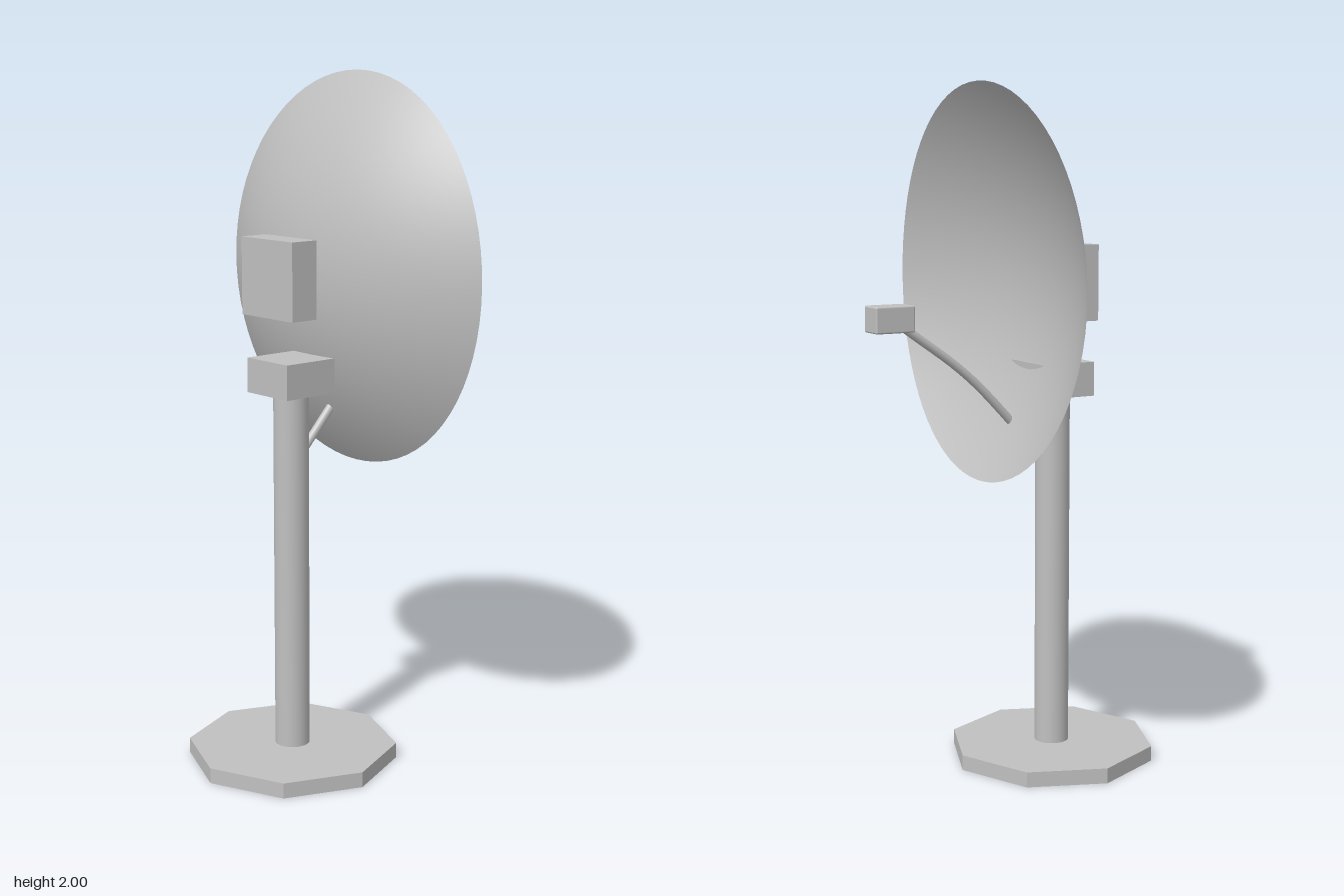
import * as THREE from 'three';
import { RoundedBoxGeometry } from 'three/addons/geometries/RoundedBoxGeometry.js';

const POLE_Z = 0.143;

// Paraboloid shell with an oval outline, bulging towards +z
function dishGeometry(rx, ry, k) {
  const geo = new THREE.RingGeometry(0.001, 1, 72, 16);
  geo.scale(rx, ry, 1);
  const p = geo.attributes.position, n = geo.attributes.normal;
  const v = new THREE.Vector3();
  for (let i = 0; i < p.count; i++) {
    const x = p.getX(i), y = p.getY(i);
    p.setZ(i, -k * (x * x + y * y));
    v.set(2 * k * x, 2 * k * y, 1).normalize();
    n.setXYZ(i, v.x, v.y, v.z);
  }
  return geo;
}

export function createModel() {
  const group = new THREE.Group();
  const grey = new THREE.MeshStandardMaterial({ color: 0xc0c0c0, side: THREE.DoubleSide });
  grey.name = 'light grey';

  const add = (name, geo, x, y, z) => {
    const mesh = new THREE.Mesh(geo, grey);
    mesh.name = name;
    mesh.position.set(x, y, z);
    group.add(mesh);
    return mesh;
  };

  // Octagonal foot and round mast
  add('base', new THREE.CylinderGeometry(0.308, 0.308, 0.045, 8).toNonIndexed(), 0, 0.0225, POLE_Z)
    .geometry.computeVertexNormals();
  add('mast', new THREE.CylinderGeometry(0.051, 0.051, 1.06, 32), 0, 0.57, POLE_Z);

  // Mast head, its inner edge just piercing the dish, and the rear panel
  add('mastHead', new THREE.BoxGeometry(0.175, 0.1, 0.175), 0, 1.15, POLE_Z);
  add('rearPanel', new THREE.BoxGeometry(0.22, 0.22, 0.088), 0, 1.432, 0.185);

  // Reflector
  add('dish', dishGeometry(0.527, 0.567, 0.635), 0, 1.433, 0.096);

  // Bent feed arm
  const path = new THREE.CatmullRomCurve3([
    new THREE.Vector3(0, 0.93, 0.095),
    new THREE.Vector3(0, 1.17, -0.14),
    new THREE.Vector3(0, 1.32, -0.345),
  ]);
  add('feedArm', new THREE.TubeGeometry(path, 16, 0.0127, 12), 0, 0, 0);

  // Receiver at the end of the arm
  add('receiver', new RoundedBoxGeometry(0.076, 0.075, 0.12, 2, 0.005), 0, 1.347, -0.388);

  return group;
}
